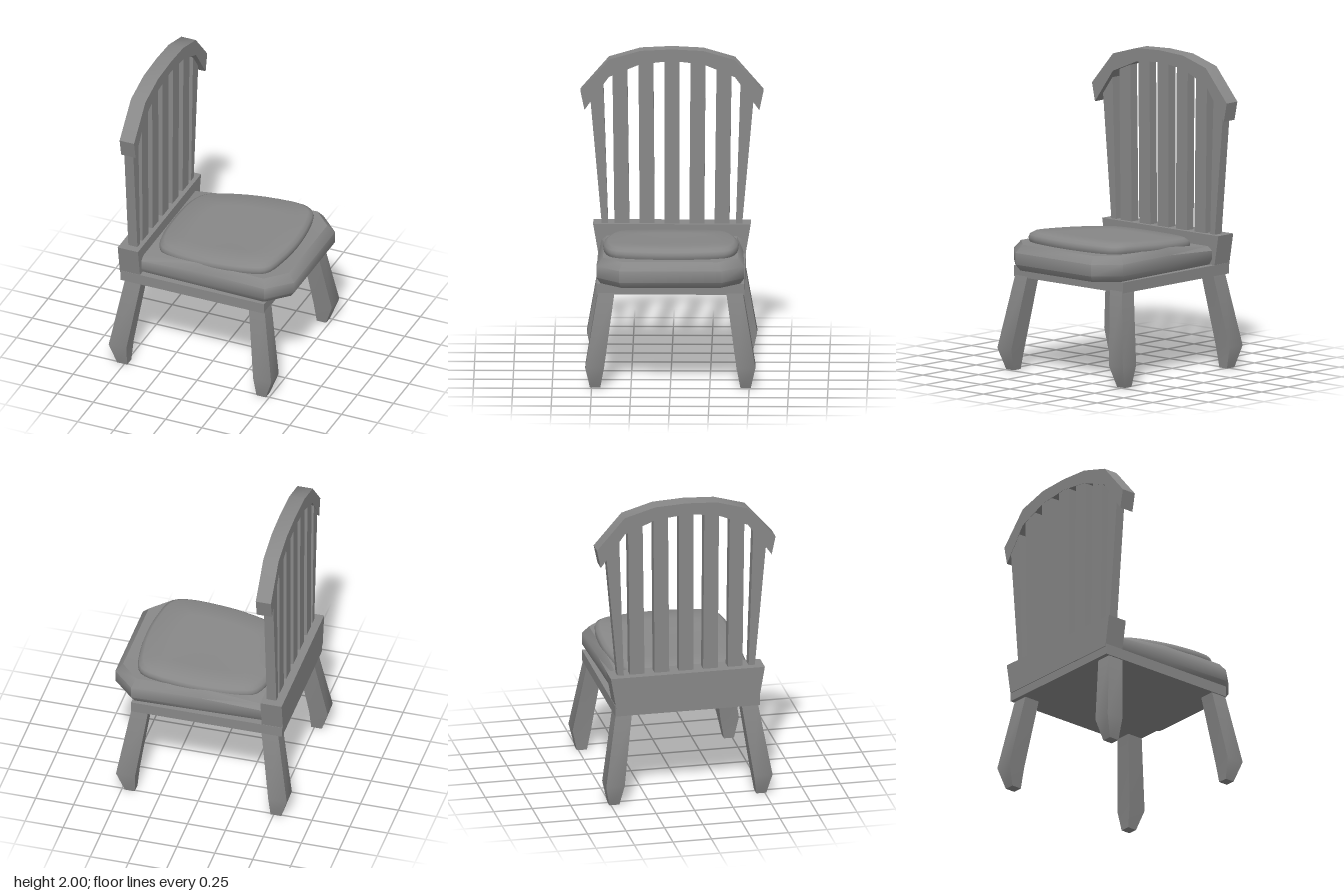
import * as THREE from 'three';
import { toCreasedNormals } from 'three/addons/utils/BufferGeometryUtils.js';

const material = new THREE.MeshStandardMaterial({ color: 0x888888 });

// Skin a stack of rings (bottom to top, counter-clockwise from above) and cap both ends.
function loft(rings, crease = 0.8) {
  const n = rings[0].length;
  const pos = rings.flat(2);
  const idx = [];
  for (let r = 0; r < rings.length - 1; r++) {
    for (let i = 0; i < n; i++) {
      const j = (i + 1) % n;
      const a = r * n + i, b = r * n + j, c = a + n, d = b + n;
      idx.push(a, b, d, a, d, c);
    }
  }
  const addCap = (r, up) => {
    const centre = pos.length / 3;
    for (let k = 0; k < 3; k++) pos.push(rings[r].reduce((s, p) => s + p[k], 0) / n);
    for (let i = 0; i < n; i++) {
      const a = r * n + i, b = r * n + (i + 1) % n;
      idx.push(centre, up ? a : b, up ? b : a);
    }
  };
  addCap(0, false);
  addCap(rings.length - 1, true);
  const geo = new THREE.BufferGeometry();
  geo.setAttribute('position', new THREE.Float32BufferAttribute(pos, 3));
  geo.setIndex(idx);
  return toCreasedNormals(geo, crease);
}

// Rectangular ring at height y.
function rect(y, xa, xb, za, zb) {
  const x0 = Math.min(xa, xb), x1 = Math.max(xa, xb);
  const z0 = Math.min(za, zb), z1 = Math.max(za, zb);
  return [[x1, y, z0], [x0, y, z0], [x0, y, z1], [x1, y, z1]];
}

export function createModel() {
  const chair = new THREE.Group();
  chair.name = 'chair';
  const add = (name, geo) => {
    const mesh = new THREE.Mesh(geo, material);
    mesh.name = name;
    chair.add(mesh);
  };

  // Splayed legs with softly shaded, tapered feet
  for (const s of [1, -1]) {
    add('frontLeg', loft([
      rect(0, 0.415, 0.48, s * 0.445, s * 0.51),
      rect(0.14, 0.405, 0.53, s * 0.42, s * 0.54),
      rect(0.61, 0.34, 0.45, s * 0.355, s * 0.46),
    ]));
    add('backLeg', loft([
      rect(0, -0.55, -0.48, s * 0.445, s * 0.51),
      rect(0.14, -0.595, -0.473, s * 0.42, s * 0.54),
      rect(0.61, -0.515, -0.405, s * 0.355, s * 0.46),
    ]));
  }

  // Seat frame and the flared rail that holds the back
  add('seatFrame', loft([rect(0.6, -0.545, 0.45, -0.47, 0.47), rect(0.67, -0.545, 0.45, -0.47, 0.47)]));
  add('backRail', loft([rect(0.655, -0.55, -0.41, -0.465, 0.465), rect(0.86, -0.55, -0.41, -0.5, 0.5)]));

  // Fanned back slats: bottom z range, top z range, top height
  const slats = [
    [0.11, 0.205, 0.118, 0.213, 1.93],
    [0.27, 0.365, 0.283, 0.378, 1.87],
    [0.405, 0.445, 0.435, 0.527, 1.77],
  ];
  const slat = (b0, b1, t0, t1, top) => add('backSlat', loft([
    rect(0.85, -0.5, -0.437, b0, b1), rect(top, -0.5, -0.437, t0, t1),
  ]));
  slat(-0.047, 0.047, -0.047, 0.047, 1.96);
  for (const [b0, b1, t0, t1, top] of slats) {
    slat(b0, b1, t0, t1, top);
    slat(-b0, -b1, -t0, -t1, top);
  }

  // Arch along the top of the back, smooth along its length
  const outer = [[0.58, 1.725], [0.4, 1.932], [0.2, 1.99], [0, 2]];
  const inner = [[0, 1.925], [0.2, 1.903], [0.4, 1.82], [0.555, 1.605]];
  const half = [...inner, ...outer];
  const mirrored = half.slice(1, -1).reverse().map(([z, y]) => [-z, y]);
  const outline = [...half, ...mirrored].map(([z, y]) => new THREE.Vector2(z, y));
  const archGeo = new THREE.ExtrudeGeometry(new THREE.Shape(outline), { depth: 0.1, bevelEnabled: false });
  archGeo.rotateY(Math.PI / 2);
  archGeo.translate(-0.502, 0, 0);
  add('topArch', toCreasedNormals(archGeo, 0.8));

  // Thick lower cushion with cut front corners, narrowing and sinking towards the back
  const lowerRing = (y, d, sink) => {
    const side = [
      [0.595 - d, 0.325 - d / 2], [0.45 - d / 2, 0.47 - 0.9 * d], [0, 0.457 - 0.8 * d], [-0.41, 0.447 - 0.8 * d],
    ];
    const pts = [...side.map(([x, z]) => [x, -z]), ...[...side].reverse()];
    return pts.map(([x, z]) => [x, y - sink * Math.max(0, -x), z]);
  };
  add('lowerCushion', loft([
    lowerRing(0.67, 0.03, 0),
    lowerRing(0.71, 0, 0),
    lowerRing(0.785, 0, 0.06),
    lowerRing(0.835, 0.045, 0.12),
  ]));

  // Thin rounded seat pad, rising towards the front
  const padSide = [
    [0.485, 0], [0.47, 0.2], [0.43, 0.36], [0.35, 0.41], [0.1, 0.43],
    [-0.08, 0.415], [-0.25, 0.375], [-0.33, 0.33], [-0.375, 0.22], [-0.39, 0],
  ];
  const padPoints = [
    ...padSide.map(([x, z]) => new THREE.Vector3(x, 0, -z)),
    ...padSide.slice(1, -1).reverse().map(([x, z]) => new THREE.Vector3(x, 0, z)),
  ];
  const padCurve = new THREE.CatmullRomCurve3(padPoints, true);
  const padOutline = padCurve.getPoints(48).slice(0, -1);
  const padRing = (scale, drop) => padOutline.map((p) => {
    const x = 0.05 + (p.x - 0.05) * scale;
    return [x, Math.min(0.895, 0.868 + 0.08 * x) - drop, p.z * scale];
  });
  add('seatPad', loft([
    padRing(0.97, 0.075),
    padRing(0.995, 0.055),
    padRing(1, 0.035),
    padRing(0.985, 0.015),
    padRing(0.93, 0),
    padRing(0.6, 0.001),
    padRing(0.25, 0.004),
  ], 0.9));

  return chair;
}
